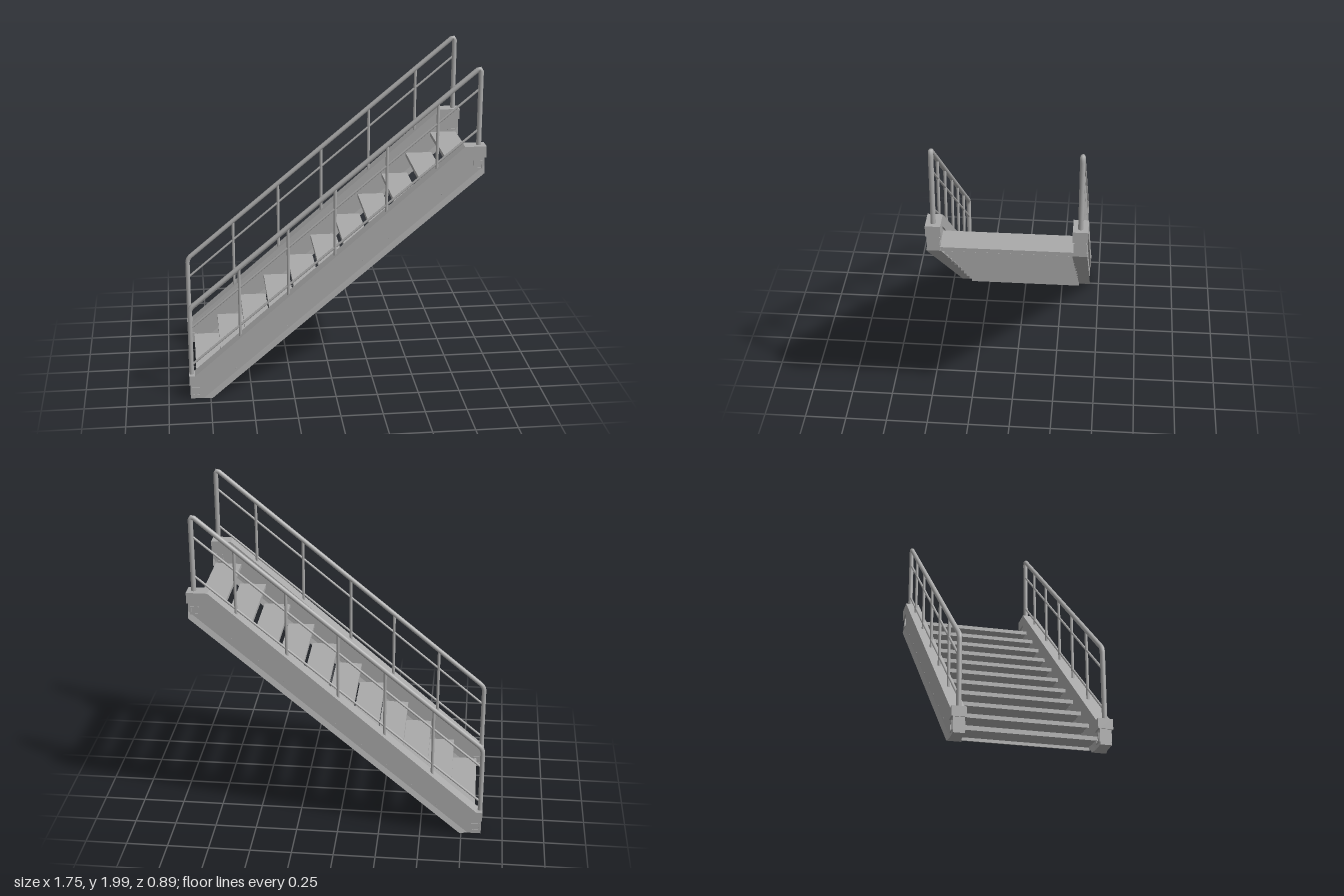
import * as THREE from 'three';

const steel = new THREE.MeshStandardMaterial({ color: 0xaaaaaa });
steel.name = 'galvanised grey steel';

function add(parent, name, geometry, x = 0, y = 0, z = 0) {
  const mesh = new THREE.Mesh(geometry, steel);
  mesh.name = name;
  mesh.position.set(x, y, z);
  parent.add(mesh);
  return mesh;
}

// Plate with an outline in x,y and its thickness centred on z = 0
function plate(points, thickness, hole) {
  const shape = new THREE.Shape(points.map(([x, y]) => new THREE.Vector2(x, y)));
  if (hole) shape.holes.push(new THREE.Path(hole.map(([x, y]) => new THREE.Vector2(x, y))));
  return new THREE.ExtrudeGeometry(shape, { depth: thickness, bevelEnabled: false })
    .translate(0, 0, -thickness / 2);
}

// Round bar between two points in the x,y plane
function bar(parent, name, a, b, radius) {
  const dx = b[0] - a[0], dy = b[1] - a[1];
  const geometry = new THREE.CylinderGeometry(radius, radius, Math.hypot(dx, dy), 12);
  add(parent, name, geometry, (a[0] + b[0]) / 2, (a[1] + b[1]) / 2).rotation.z = Math.atan2(-dx, dy);
}

const railY = x => 0.572 + (x + 0.86) * 0.834;
const capY = x => 0.13 + (x + 0.84) * 0.868;

function square(cx, cy, r) {
  return [[cx - r, cy - r], [cx + r, cy - r], [cx + r, cy + r], [cx - r, cy + r]];
}

function createStringer() {
  const g = new THREE.Group();
  g.name = 'stringer';
  add(g, 'topCap', plate([[-0.875, 0.09], [-0.81, 0.09], [0.77, 1.46], [0.875, 1.46],
    [0.875, 1.527], [0.75, 1.527], [-0.84, 0.15], [-0.875, 0.15]], 0.084));
  add(g, 'web', plate([[-0.87, 0], [-0.79, 0], [0.868, 1.408], [0.868, 1.46],
    [0.77, 1.46], [-0.81, 0.09], [-0.87, 0.09]], 0.064));

  // Lower edge flares out to the full width
  const flare = plate([[-0.79, 0], [-0.74, 0], [0.868, 1.365], [0.868, 1.408]], 0.064);
  const p = flare.attributes.position;
  for (let i = 0; i < p.count; i++) {
    const x = p.getX(i), y = p.getY(i);
    if (Math.abs(x + 0.74) < 0.001 || Math.abs(y - 1.365) < 0.001) p.setZ(i, Math.sign(p.getZ(i)) * 0.041);
  }
  flare.computeVertexNormals();
  add(g, 'lowerFlare', flare);

  // Square tube ends and tread bolts
  for (const [x, y] of [[-0.835, 0.045], [0.83, 1.415]])
    add(g, 'squareTubeEnd', plate(square(x, y, 0.026), 0.074, square(x, y, 0.019)));
  for (let i = 1; i < 10; i++)
    add(g, 'bolt', new THREE.CylinderGeometry(0.005, 0.005, 0.07, 8).rotateX(Math.PI / 2),
      -0.745 + i * 0.152, 0.053 + i * 0.132);
  return g;
}

function createRailing() {
  const g = new THREE.Group();
  g.name = 'railing';

  // Handrail and end posts are one bent tube
  const v = (x, y) => new THREE.Vector3(x, y, 0);
  const x0 = -0.86, x1 = 0.836, y0 = railY(x0), y1 = railY(x1) - 0.001, b = 0.03;
  const path = new THREE.CurvePath();
  const low = v(x0, y0 - b), lowEnd = v(x0 + b * 0.77, railY(x0 + b * 0.77));
  const high = v(x1 - b * 0.77, railY(x1 - b * 0.77)), highEnd = v(x1, y1 - b);
  path.add(new THREE.LineCurve3(v(x0, 0.13), low));
  path.add(new THREE.QuadraticBezierCurve3(low, v(x0, y0), lowEnd));
  path.add(new THREE.LineCurve3(lowEnd, high));
  path.add(new THREE.QuadraticBezierCurve3(high, v(x1, y1), highEnd));
  path.add(new THREE.LineCurve3(highEnd, v(x1, 1.51)));
  add(g, 'handrail', new THREE.TubeGeometry(path, 240, 0.0145, 14, false));

  for (const x of [-0.563, -0.273, 0.003, 0.304, 0.595])
    bar(g, 'baluster', [x, capY(x) - 0.02], [x, railY(x)], 0.009);
  bar(g, 'middleRail', [x0, 0.443], [x1, 1.863], 0.007);
  bar(g, 'lowerRail', [x0, 0.205], [x1, 1.622], 0.007);
  return g;
}

export function createModel() {
  const model = new THREE.Group();
  model.name = 'staircase';

  for (const side of [1, -1]) {
    const assembly = new THREE.Group();
    assembly.name = side > 0 ? 'frontSide' : 'backSide';
    assembly.position.z = side * 0.401;
    assembly.add(createStringer(), createRailing());
    model.add(assembly);
  }

  // Folded pan treads
  const profile = [[0, -0.013], [0.006, -0.013], [0.006, 0.005], [0.157, 0.005],
    [0.157, -0.013], [0.163, -0.013], [0.163, 0.011], [0, 0.011]];
  const tread = plate(profile, 0.736);
  for (let i = 0; i < 11; i++)
    add(model, 'tread', tread, -0.83 + i * 0.152, 0.048 + i * 0.132);
  return model;
}
